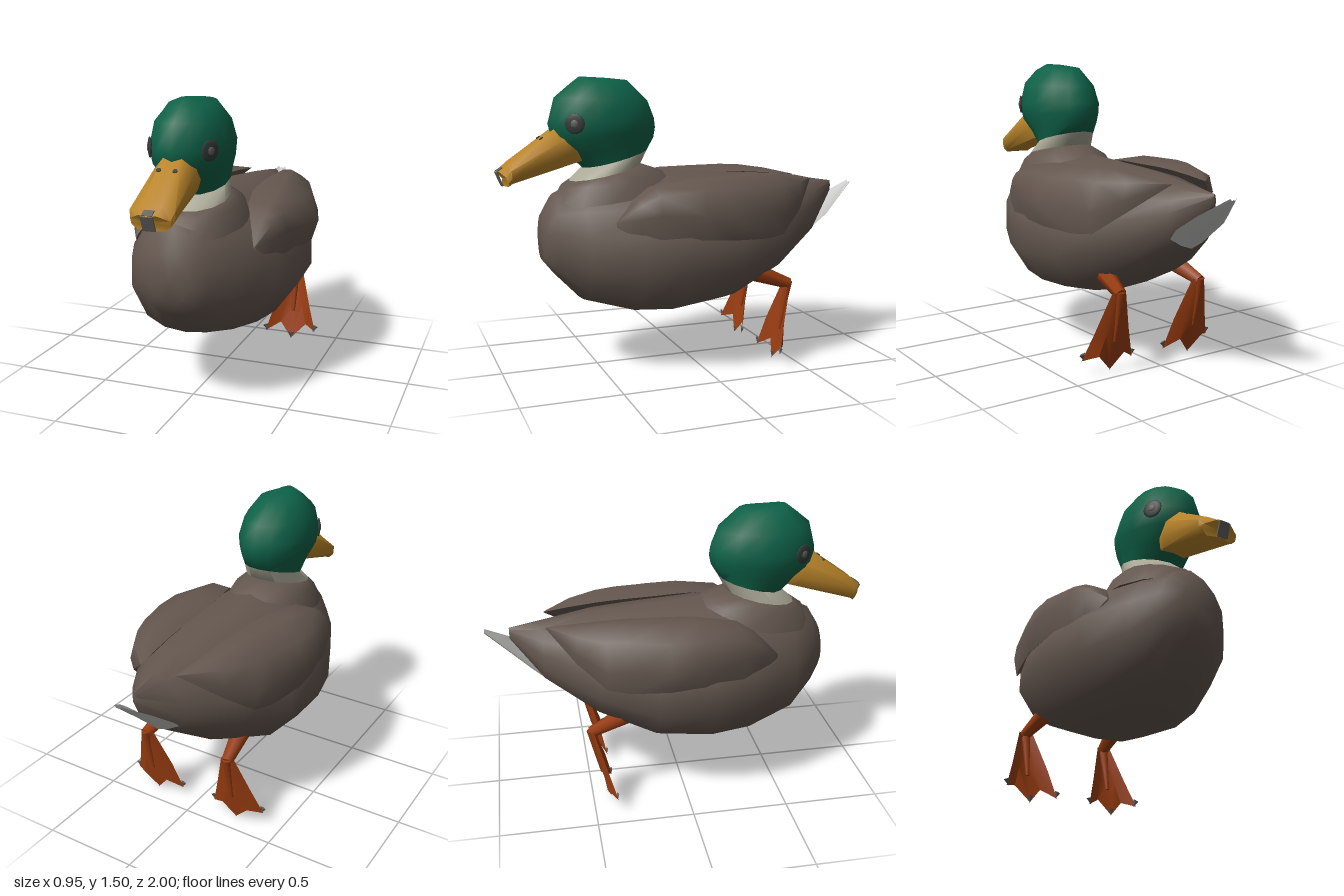
import * as THREE from 'three';
import { toCreasedNormals } from 'three/addons/utils/BufferGeometryUtils.js';

const V = (x, y, z) => new THREE.Vector3(x, y, z);

function material(name, color, side = THREE.FrontSide) {
  const m = new THREE.MeshStandardMaterial({ color, side });
  m.name = name;
  return m;
}

// Geometry from triangles (arrays of three vectors)
function fromTriangles(tris, crease) {
  const g = new THREE.BufferGeometry().setFromPoints(tris.flat());
  return toCreasedNormals(g, crease);
}

// Closed solid through rings of equal length, turned so its faces point outwards
function loft(rings, crease = 1) {
  const tris = [];
  const n = rings[0].length;
  for (let i = 0; i < rings.length - 1; i++) {
    for (let j = 0; j < n; j++) {
      const k = (j + 1) % n;
      const a = rings[i][j], b = rings[i][k], c = rings[i + 1][k], d = rings[i + 1][j];
      tris.push([a, b, c], [a, c, d]);
    }
  }
  for (const [ring, first] of [[rings[0], true], [rings[rings.length - 1], false]]) {
    const mid = ring.reduce((s, p) => s.add(p), V(0, 0, 0)).divideScalar(n);
    ring.forEach((p, j) => {
      const q = ring[(j + 1) % n];
      tris.push(first ? [mid, q, p] : [mid, p, q]);
    });
  }
  const volume = tris.reduce((s, [a, b, c]) => s + a.dot(b.clone().cross(c)), 0);
  return fromTriangles(volume < 0 ? tris.map(([a, b, c]) => [a, c, b]) : tris, crease);
}

// Open sheet through rows of points
function sheet(rows, crease = 0.5) {
  const tris = [];
  for (let i = 0; i < rows.length - 1; i++) {
    for (let j = 0; j < rows[0].length - 1; j++) {
      const a = rows[i][j], b = rows[i][j + 1], c = rows[i + 1][j + 1], d = rows[i + 1][j];
      tris.push([a, d, b], [b, d, c]);
    }
  }
  return fromTriangles(tris, crease);
}

// Symmetric ring from a half outline running from the centre line back to it
function mirrorRing(half) {
  return [...half, ...half.slice(1, -1).reverse().map((p) => V(-p.x, p.y, p.z))];
}

// Tilted oval given by its back point, front point and half width
function oval([zb, yb, zf, yf, w]) {
  return Array.from({ length: 14 }, (_, i) => {
    const a = (i / 14) * Math.PI * 2, c = Math.cos(a) / 2;
    return V(Math.sin(a) * w, (yb + yf) / 2 + c * (yf - yb), (zb + zf) / 2 + c * (zf - zb));
  });
}

export function createModel() {
  const duck = new THREE.Group();
  duck.name = 'duck';
  const brown = material('brown feathers', 0x64574f);
  const green = material('green head', 0x0e6147);
  const cream = material('cream collar', 0xaaa896);
  const yellow = material('yellow beak', 0xb9842a);
  const orange = material('orange legs', 0x983c10, THREE.DoubleSide);
  const white = material('white tail', 0xc6c6c4, THREE.DoubleSide);
  const dark = material('dark grey', 0x343b39);
  const grey = material('grey', 0x62605e);

  const add = (name, geometry, mat, parent = duck) => {
    const mesh = new THREE.Mesh(geometry, mat);
    mesh.name = name;
    parent.add(mesh);
    return mesh;
  };

  // Body: sections along z as [z, bottom, top, half width]
  const bodyShape = [[0, 0], [0.38, 0.02], [0.7, 0.1], [0.97, 0.33], [0.96, 0.58], [0.75, 0.78], [0.42, 0.93], [0, 1]];
  const bodySections = [
    [0.78, 0.58, 0.82, 0.1], [0.72, 0.505, 0.92, 0.19], [0.59, 0.37, 0.98, 0.29],
    [0.34, 0.3, 1.02, 0.405], [0.13, 0.29, 1.02, 0.45], [-0.16, 0.33, 1.0, 0.44],
    [-0.45, 0.46, 0.98, 0.33], [-0.71, 0.64, 0.945, 0.155], [-0.875, 0.86, 0.92, 0.008],
  ];
  add('body', loft(bodySections.map(([z, b, t, w]) =>
    mirrorRing(bodyShape.map(([x, u]) => V(x * w, b + u * (t - b), z))))), brown);

  // Neck, collar and head
  const collarLow = [0.26, 1.06, 0.63, 0.98, 0.17];
  const collarHigh = [0.22, 1.135, 0.56, 1.045, 0.15];
  add('neck', loft([[0.05, 0.94, 0.74, 0.85, 0.25], [0.13, 1.015, 0.68, 0.95, 0.21], collarLow].map(oval)), brown);
  add('collar', loft([collarLow, collarHigh].map(oval)), cream);
  add('head', loft([
    collarHigh, [0.18, 1.2, 0.63, 1.11, 0.165], [0.17, 1.25, 0.71, 1.18, 0.188],
    [0.175, 1.29, 0.735, 1.27, 0.198], [0.21, 1.38, 0.7, 1.4, 0.172],
    [0.32, 1.485, 0.62, 1.465, 0.11], [0.42, 1.495, 0.57, 1.503, 0.04],
  ].map(oval)), green);

  // Beak: [top z, top y, bottom z, bottom y, half width, sweep of the sides]
  const beakShape = [[0, 0], [0.45, -0.03], [1, 0.3], [1, 0.7], [0.75, 1], [0, 1]];
  add('beak', loft([
    [0.65, 1.25, 0.56, 1.09, 0.09, 0], [0.71, 1.24, 0.62, 1.075, 0.102, 0],
    [0.94, 1.08, 0.93, 0.985, 0.108, 0], [1.0, 1.04, 0.97, 0.97, 0.095, 0.03],
  ].map(([zt, yt, zb, yb, w, sweep]) => mirrorRing(beakShape.map(([x, u]) =>
    V(x * w, yt + u * (yb - yt), zt + u * (zb - zt) - x * sweep))))), yellow);

  // Dark nail at the beak tip
  const nail = add('beakNail', new THREE.BoxGeometry(0.06, 0.075, 0.009), grey);
  nail.position.set(0, 1.005, 0.983);
  nail.rotation.x = 0.4;
  const nailTop = add('beakNailTop', new THREE.BoxGeometry(0.05, 0.008, 0.035), grey);
  nailTop.position.set(0, 1.05, 0.98);
  nailTop.rotation.x = 0.58;

  // Tail feathers: rows as [z, half width, edge height, centre height]
  add('tail', sheet([
    [-0.72, 0.13, 0.7, 0.64], [-0.78, 0.145, 0.755, 0.7], [-0.87, 0.1, 0.825, 0.785], [-1.0, 0.02, 0.915, 0.908],
  ].map(([z, w, e, c]) => [V(-w, e, z), V(-w / 2, (e + c) / 2 - 0.008, z), V(0, c, z), V(w / 2, (e + c) / 2 - 0.008, z), V(w, e, z)])), white);

  // Wing sections: [z, inner x, y, top x, y, outer x, y, lower x, y]
  const wingSections = [
    [0.47, 0.305, 0.8, 0.31, 0.8, 0.315, 0.79, 0.31, 0.78],
    [0.36, 0.25, 0.91, 0.32, 0.91, 0.378, 0.82, 0.36, 0.71],
    [0.27, 0.21, 0.96, 0.32, 0.965, 0.415, 0.84, 0.4, 0.71],
    [0.05, 0.16, 0.98, 0.3, 1.0, 0.47, 0.83, 0.435, 0.71],
    [-0.1, 0.145, 0.98, 0.28, 1.005, 0.475, 0.81, 0.44, 0.7],
    [-0.3, 0.13, 0.98, 0.25, 1.01, 0.42, 0.82, 0.4, 0.69],
    [-0.41, 0.125, 0.975, 0.23, 1.005, 0.38, 0.8, 0.36, 0.7],
    [-0.55, 0.115, 0.965, 0.19, 0.985, 0.28, 0.87, 0.265, 0.81],
    [-0.69, 0.1, 0.952, 0.105, 0.953, 0.11, 0.95, 0.107, 0.946],
  ];

  for (const [side, s] of [['left', 1], ['right', -1]]) {
    add(side + 'Wing', loft(wingSections.map(([z, ix, iy, tx, ty, ox, oy, lx, ly]) => [
      V(s * ix, iy, z), V(s * tx, ty, z),
      V(s * (tx + 0.72 * (ox - tx)), oy + 0.72 * (ty - oy), z),
      V(s * ox, oy, z), V(s * lx, ly, z),
    ])), brown);

    // Eye patch and pupil
    const eye = new THREE.Group();
    eye.name = side + 'Eye';
    eye.position.set(s * 0.15, 1.275, 0.63);
    eye.rotation.y = s * 1.06;
    duck.add(eye);
    add('eyePatch', new THREE.SphereGeometry(0.05, 14, 8), dark, eye).scale.z = 0.2;
    const pupil = add('pupil', new THREE.SphereGeometry(0.02, 10, 6), grey, eye);
    pupil.scale.z = 0.3;
    pupil.position.z = 0.008;

    // Nostril
    const nostril = add(side + 'Nostril', new THREE.CylinderGeometry(0.012, 0.012, 0.008, 8), dark);
    nostril.position.set(s * 0.04, 1.199, 0.775);
    nostril.rotation.x = 0.6;

    // Leg: bent limb from the body to the heel, then a shin ridge behind the web
    const leg = new THREE.Group();
    leg.name = side + 'Leg';
    duck.add(leg);
    const limb = (name, a, b, ra, rb) => {
      const d = b.clone().sub(a);
      const m = add(name, new THREE.CylinderGeometry(rb, ra, d.length(), 6), orange, leg);
      m.position.copy(a).add(b).multiplyScalar(0.5);
      m.quaternion.setFromUnitVectors(V(0, 1, 0), d.normalize());
    };
    limb('thigh', V(s * 0.22, 0.48, -0.3), V(s * 0.25, 0.405, -0.5), 0.052, 0.03);
    limb('shin', V(s * 0.25, 0.42, -0.495), V(s * 0.25, 0.16, -0.445), 0.026, 0.01);

    // Webbed foot, folded along the toes
    add('foot', sheet([
      [[-0.04, 0.415, -0.485], [-0.02, 0.415, -0.5], [0, 0.415, -0.51], [0.02, 0.415, -0.5], [0.04, 0.415, -0.485]],
      [[-0.105, 0.2, -0.42], [-0.05, 0.2, -0.45], [0, 0.2, -0.46], [0.05, 0.2, -0.45], [0.105, 0.2, -0.42]],
      [[-0.15, 0.04, -0.385], [-0.07, 0.088, -0.43], [0, 0.005, -0.405], [0.08, 0.09, -0.43], [0.15, 0.068, -0.38]],
    ].map((row) => row.map(([x, y, z]) => V(s * (0.25 + x), y, z)))), orange, leg);

    // Claws
    for (const [x, y, z, tilt] of [[0.105, 0.058, -0.387, -0.35], [0.25, 0.021, -0.406, 0], [0.393, 0.085, -0.384, 0.35]]) {
      const claw = add('claw', new THREE.ConeGeometry(0.017, 0.04, 4), grey, leg);
      claw.position.set(s * x, y, z);
      claw.rotation.set(Math.PI, 0, s * tilt);
      claw.scale.z = 0.4;
    }
  }
  return duck;
}
